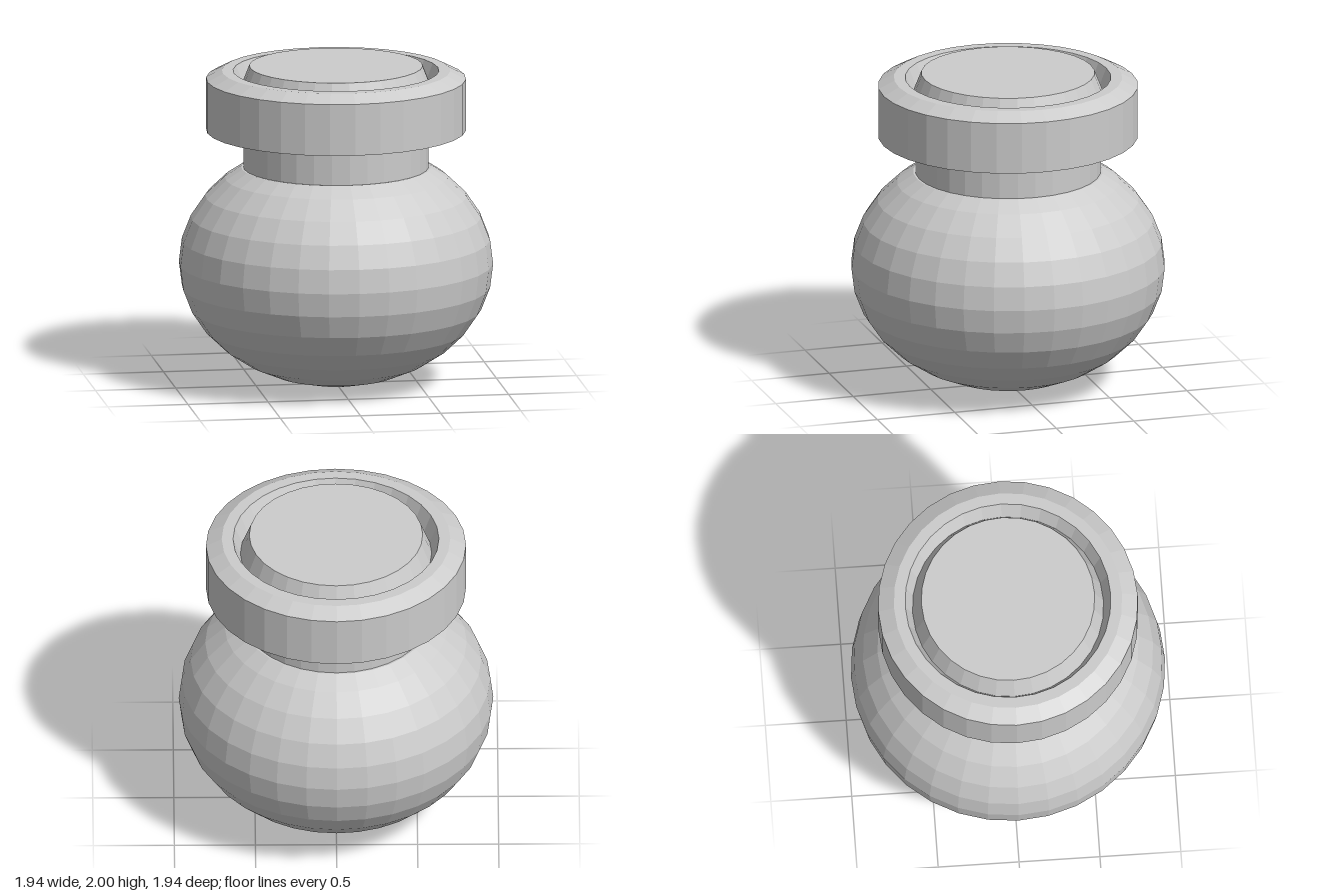
import * as THREE from 'three';

const SIDES = 32;

export function createModel() {
  const model = new THREE.Group();
  const material = new THREE.MeshStandardMaterial({ color: 0xcccccc, flatShading: true });

  // Faceted solid of revolution; the profile runs [radius, height] from bottom to top
  function turned(name, profile) {
    const points = profile.map(([r, y]) => new THREE.Vector2(r, y));
    const mesh = new THREE.Mesh(new THREE.LatheGeometry(points, SIDES), material);
    mesh.name = name;
    model.add(mesh);
  }

  // Squashed round body, cut off where the neck begins
  const radius = 0.97, half = 0.76;
  const bowl = [];
  for (let i = 0; i <= 12; i++) {
    const a = (i / 16) * Math.PI;
    bowl.push([radius * Math.sin(a), half - half * Math.cos(a)]);
  }
  bowl.push([0.585, 1.363]);
  bowl.push([0.572, 1.363]);
  turned('body', bowl);

  // Straight neck
  turned('neck', [[0.572, 1.36], [0.572, 1.6]]);

  // Bevelled collar with a sloping inner wall
  turned('collar', [
    [0.55, 1.597], [0.802, 1.597], [0.802, 1.92],
    [0.705, 1.97], [0.635, 1.97], [0.59, 1.86],
  ]);

  // Tapered stopper rising out of the groove
  turned('stopper', [[0.59, 1.86], [0.535, 2], [0, 2]]);

  return model;
}
